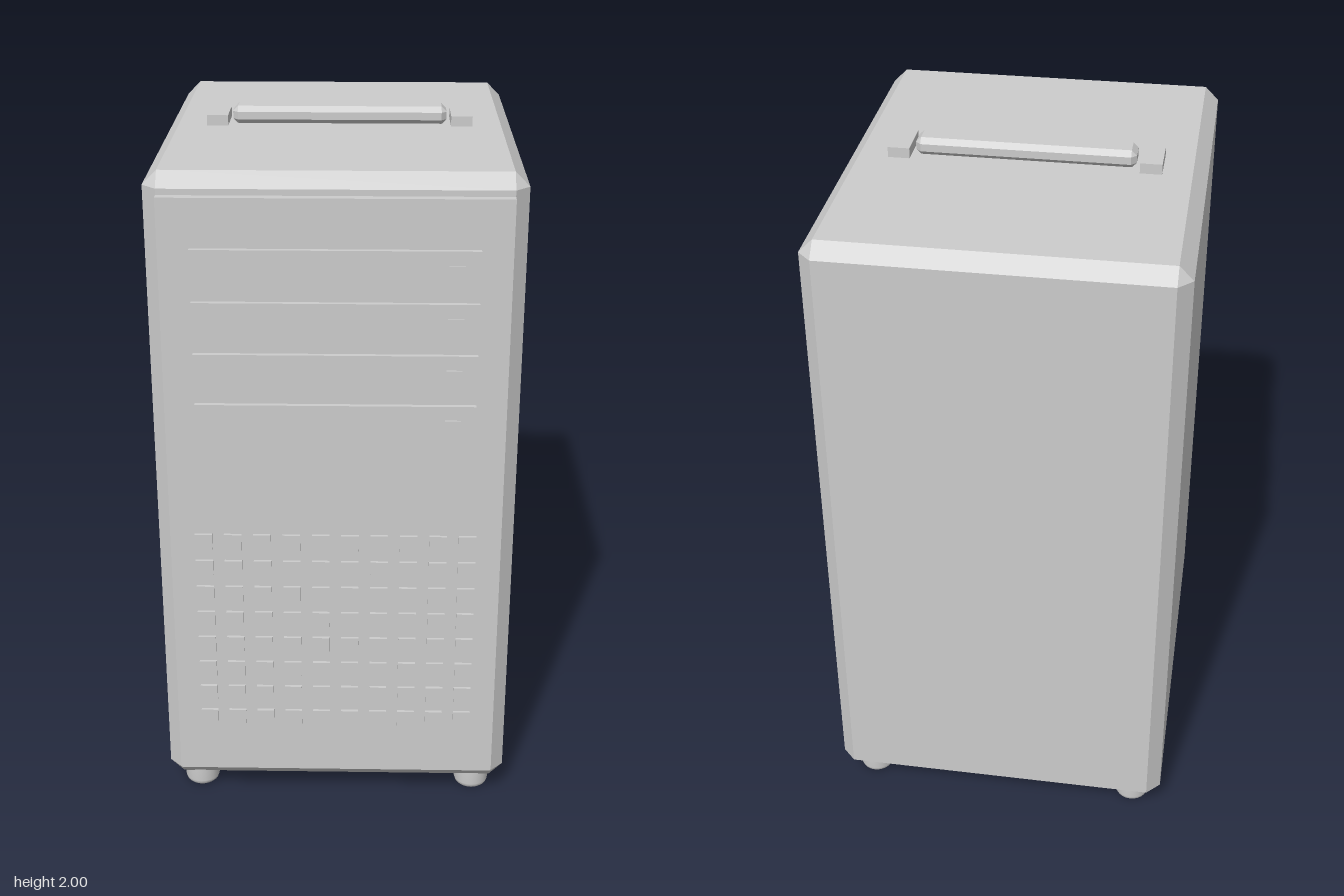
import * as THREE from 'three';
import { ConvexGeometry } from 'three/addons/geometries/ConvexGeometry.js';

const casing = new THREE.MeshStandardMaterial({ color: 0xcccccc });
casing.name = 'casing grey';

// Box with every edge cut at 45 degrees and triangular corners
function chamferedBox(w, h, d, c) {
  const points = [];
  for (const x of [-w / 2, w / 2])
    for (const y of [-h / 2, h / 2])
      for (const z of [-d / 2, d / 2]) {
        const ix = x - Math.sign(x) * c, iy = y - Math.sign(y) * c, iz = z - Math.sign(z) * c;
        points.push(
          new THREE.Vector3(x, iy, iz),
          new THREE.Vector3(ix, y, iz),
          new THREE.Vector3(ix, iy, z));
      }
  return new ConvexGeometry(points);
}

export function createModel() {
  const model = new THREE.Group();
  model.name = 'computerTower';

  const add = (name, geometry, x, y, z, parent = model) => {
    const mesh = new THREE.Mesh(geometry, casing);
    mesh.name = name;
    mesh.position.set(x, y, z);
    parent.add(mesh);
    return mesh;
  };
  const group = (name) => {
    const g = new THREE.Group();
    g.name = name;
    model.add(g);
    return g;
  };

  // Case and front panel
  const panelZ = 0.616;
  add('case', chamferedBox(1.02, 1.897, 1.227, 0.04), 0, 1.0015, -0.0225);
  add('frontPanel', new THREE.BoxGeometry(0.94, 1.776, 0.04), 0, 1.005, panelZ - 0.02);

  // Drive bays, each with an eject button near the right-hand end
  const bays = group('driveBays');
  for (let i = 0; i < 4; i++) {
    const y = 1.706 - i * 0.147;
    add('driveBay', new THREE.BoxGeometry(0.77, 0.101, 0.024), 0, y, 0.618, bays);
    add('ejectButton', new THREE.BoxGeometry(0.043, 0.02, 0.015), 0.322, y, 0.6275, bays);
  }

  // Ventilation grille: ten columns by eight rows of raised blocks
  const grille = group('grille');
  const block = new THREE.BoxGeometry(0.05, 0.05, 0.02);
  for (let col = 0; col < 10; col++)
    for (let row = 0; row < 8; row++)
      add('grilleBlock', block, -0.375 + col * 0.0833, 0.888 - row * 0.084, 0.615, grille);

  // Carrying handle
  const handle = group('handle');
  add('handleBar', chamferedBox(0.624, 0.052, 0.082, 0.015), 0, 1.974, -0.023, handle);
  for (const side of [-1, 1])
    add('handleMount', new THREE.BoxGeometry(0.062, 0.036, 0.126), side * 0.355, 1.962, -0.023, handle);

  // Rounded feet
  const feet = group('feet');
  const footProfile = [[0, 0], [0.043, 0], [0.049, 0.006], [0.052, 0.016], [0.052, 0.06]]
    .map(([r, y]) => new THREE.Vector2(r, y));
  const footGeometry = new THREE.LatheGeometry(footProfile, 24);
  for (const x of [-0.418, 0.418])
    for (const z of [-0.54, 0.505])
      add('foot', footGeometry, x, 0, z, feet);

  return model;
}
